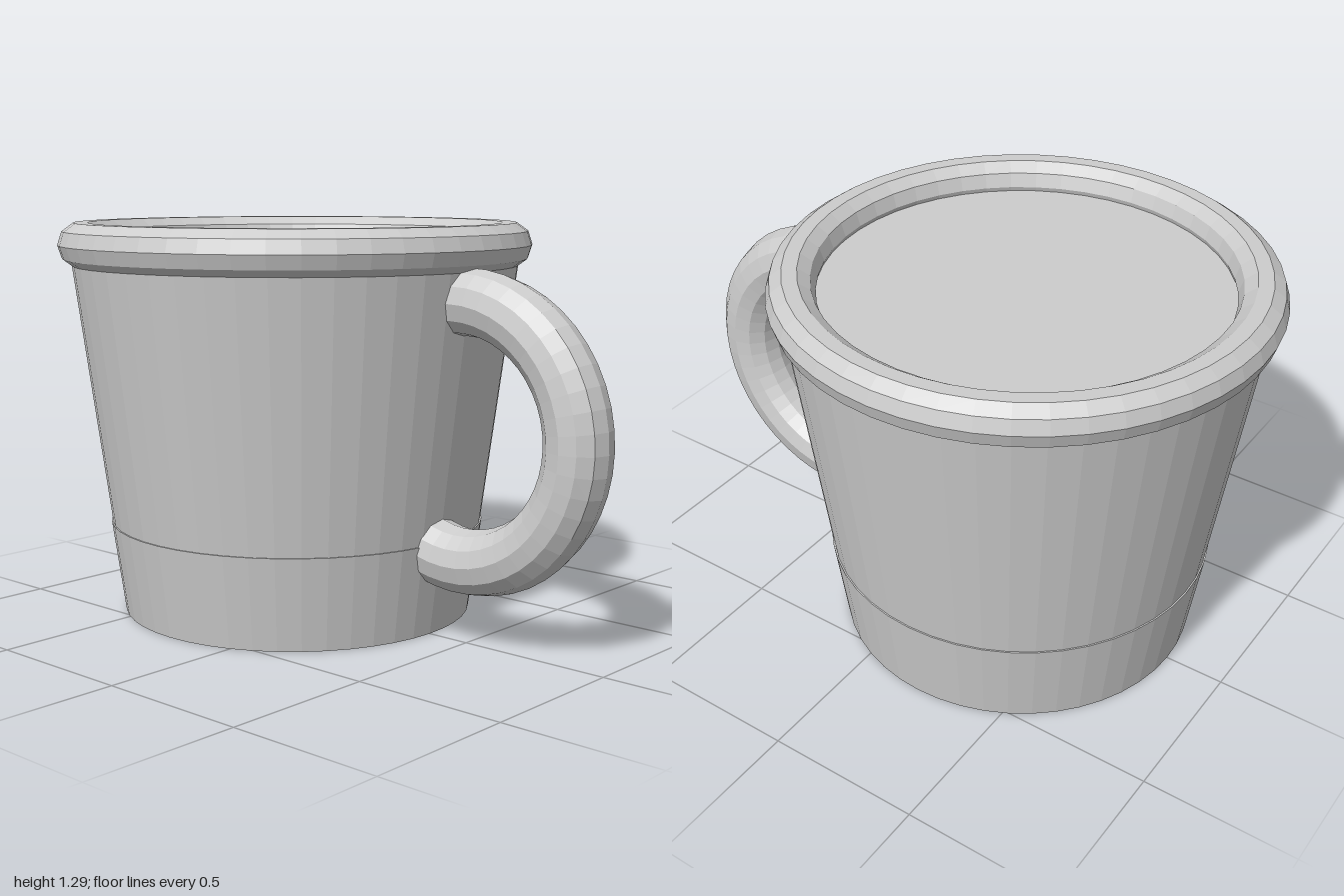
import * as THREE from 'three';

export function createModel() {
  const mug = new THREE.Group();
  mug.name = 'mug';
  const ceramic = new THREE.MeshStandardMaterial({ color: 0xcccccc, flatShading: true });
  ceramic.name = 'grey ceramic';
  const SIDES = 48;

  const add = (name, geometry, x, y) => {
    const mesh = new THREE.Mesh(geometry, ceramic);
    mesh.name = name;
    mesh.position.set(x, y, 0);
    mug.add(mesh);
    return mesh;
  };

  const cx = -0.225; // axis of the cup

  // Tapered body; its closed top is the filled surface inside the rim
  add('body', new THREE.CylinderGeometry(0.737, 0.577, 1.2, SIDES), cx, 0.6);

  // Slightly raised band around the foot
  add('footBand', new THREE.CylinderGeometry(0.622, 0.58, 0.302, SIDES), cx, 0.151);

  // Rounded rim
  const rim = new THREE.TorusGeometry(0.7, 0.075, 10, SIDES);
  rim.rotateX(-Math.PI / 2);
  add('rim', rim, cx, 1.215);

  // Handle: a partial ring whose ends sink into the body
  const start = -2.15, end = 1.85;
  const handle = new THREE.TorusGeometry(0.4, 0.103, 12, 30, end - start);
  handle.rotateZ(start);
  add('handle', handle, 0.497, 0.66);

  return mug;
}
